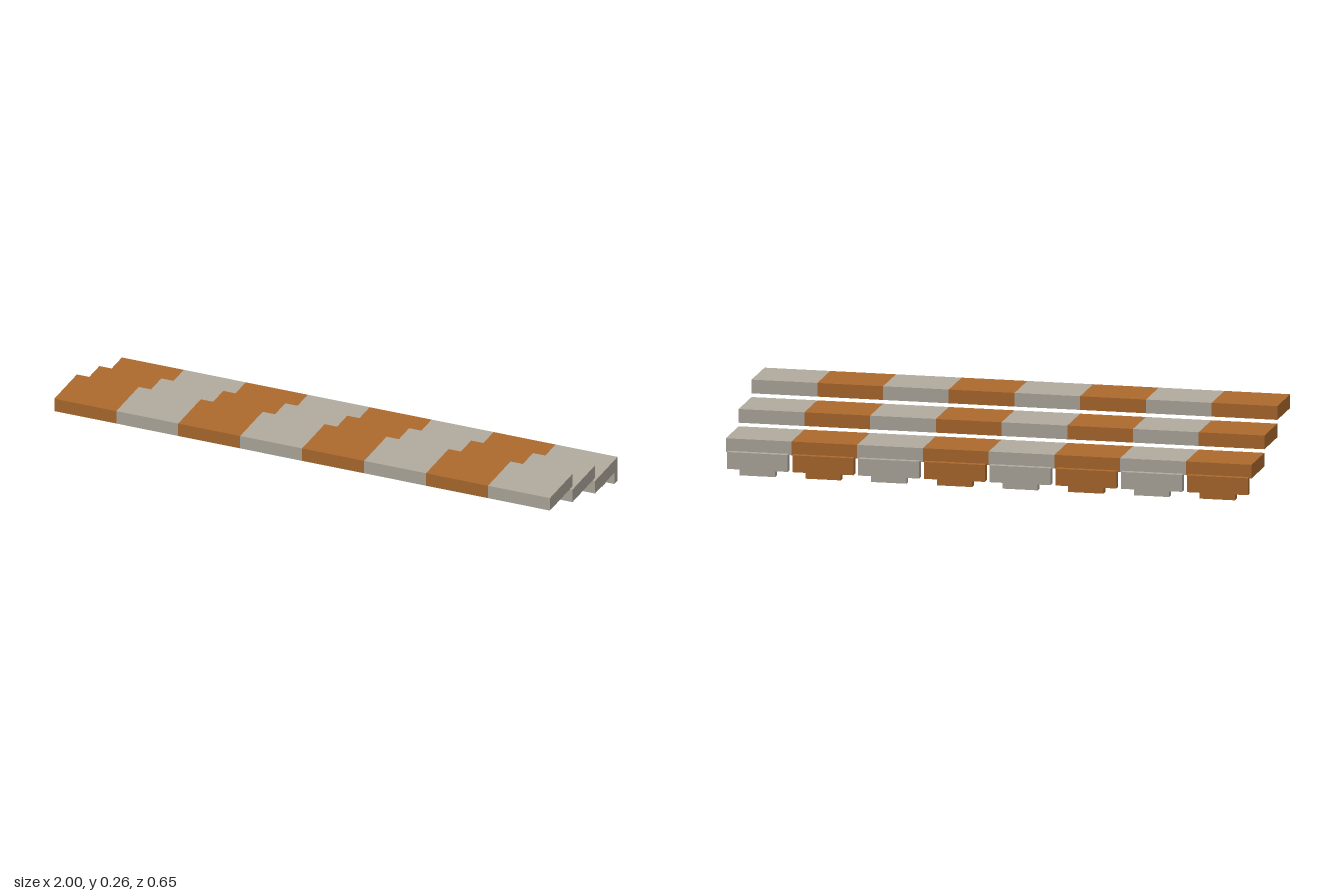
import * as THREE from 'three';

export function createModel() {
  const model = new THREE.Group();
  model.name = 'stripedAwning';

  const orange = new THREE.MeshStandardMaterial({ color: 0xad6a2d, flatShading: true });
  const stone = new THREE.MeshStandardMaterial({ color: 0xb0aa9e, flatShading: true });

  const stripes = 8;
  const stripeWidth = 2 / stripes;

  // One slab per step and stripe: three overlapping steps rising to the front
  const slabGeometry = new THREE.BoxGeometry(stripeWidth, 0.052, 0.2105);
  const steps = [
    { y: 0.107, z: -0.1995 },
    { y: 0.1725, z: 0.011 },
    { y: 0.2385, z: 0.2215 },
  ];

  // Hanging flap: a wide panel with a narrower tab below, mirrored about x = 0
  const half = [[0.067, 0], [0.067, 0.022], [0.116, 0.022], [0.116, 0.086]];
  const outline = [...half, ...half.map(([x, y]) => [-x, y]).reverse()];
  const flapShape = new THREE.Shape(outline.map(([x, y]) => new THREE.Vector2(x, y)));
  const flapGeometry = new THREE.ExtrudeGeometry(flapShape, { depth: 0.031, bevelEnabled: false });

  for (let i = 0; i < stripes; i++) {
    const material = i % 2 === 0 ? orange : stone;
    const stripe = new THREE.Group();
    stripe.name = `stripe${i + 1}`;
    stripe.position.x = -1 + stripeWidth * (i + 0.5);

    steps.forEach(({ y, z }, k) => {
      const slab = new THREE.Mesh(slabGeometry, material);
      slab.name = `stepSlab${k + 1}`;
      slab.position.set(0, y, z);
      stripe.add(slab);
    });

    const flap = new THREE.Mesh(flapGeometry, material);
    flap.name = 'hangingFlap';
    flap.position.z = -0.327;
    stripe.add(flap);

    model.add(stripe);
  }
  return model;
}
